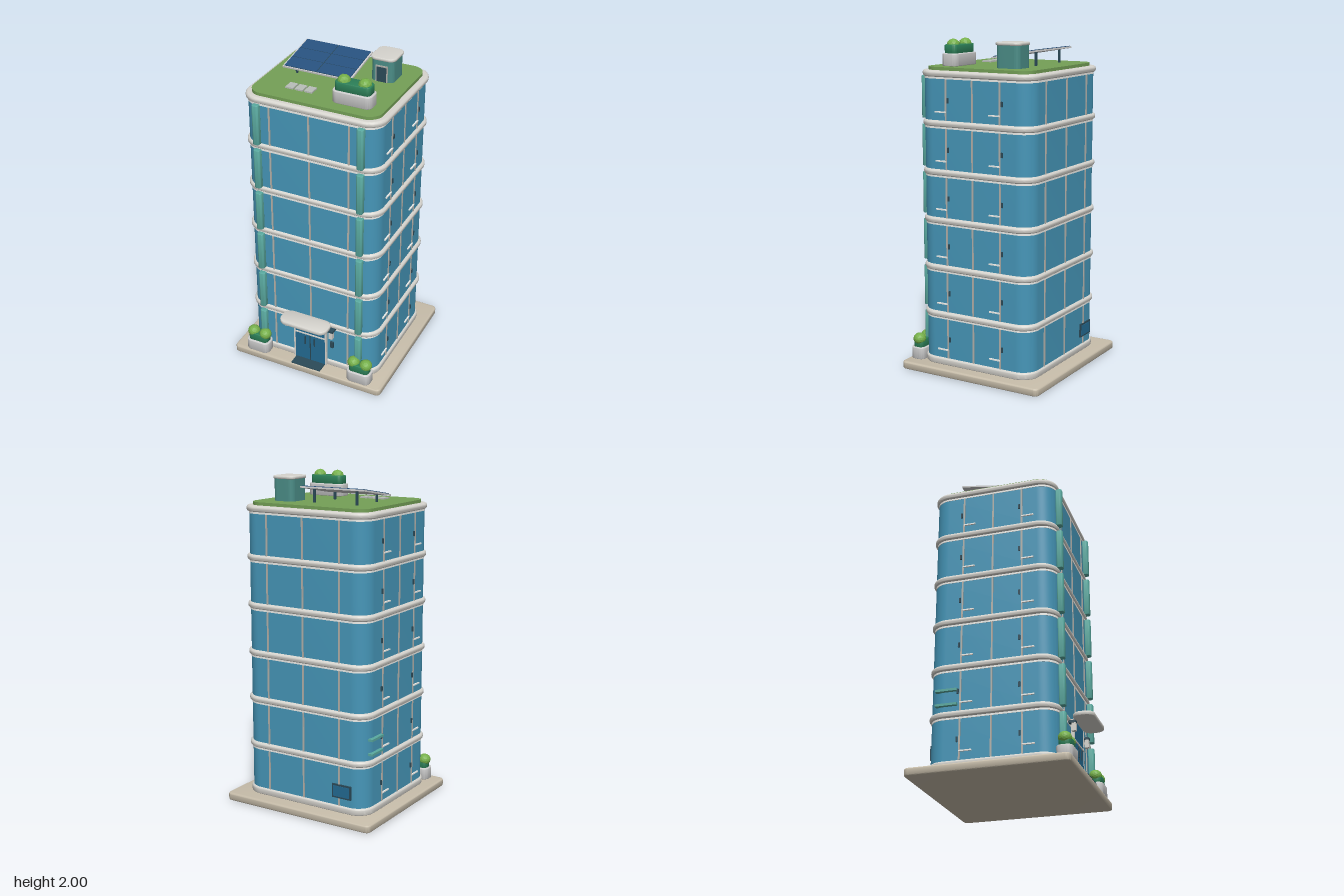
import * as THREE from 'three';
import { toCreasedNormals } from 'three/addons/utils/BufferGeometryUtils.js';

const paint = (color, flatShading = false) => new THREE.MeshStandardMaterial({ color, flatShading });
const M = {
  stone: paint(0xc6bca9), trim: paint(0xd6d4ce), white: paint(0xeeeeea), glass: paint(0x4696b8),
  mullion: paint(0xb4b2ab), grass: paint(0x74a056), solar: paint(0x28527f), teal: paint(0x5aaaa0),
  hut: paint(0x4b8d87), dark: paint(0x2b4a58), door: paint(0x236a92), planter: paint(0xcccccc),
  hedge: paint(0x2c8058), leaf: paint(0x76b04a, true), paver: paint(0xb9beb9),
};
const CZ = -0.025; // centre of the tower in z

// Rounded rectangle lying flat, from y0 to y1, with softened rims
function slab(w, d, y0, y1, r, bevel = 0) {
  const x = w / 2 - bevel, z = d / 2 - bevel;
  r = Math.max(r - bevel, 0.002);
  const s = new THREE.Shape();
  s.absarc(x - r, z - r, r, 0, Math.PI / 2);
  s.absarc(-x + r, z - r, r, Math.PI / 2, Math.PI);
  s.absarc(-x + r, -z + r, r, Math.PI, Math.PI * 1.5);
  s.absarc(x - r, -z + r, r, Math.PI * 1.5, Math.PI * 2);
  s.closePath();
  const g = new THREE.ExtrudeGeometry(s, {
    depth: y1 - y0 - 2 * bevel, curveSegments: 8, bevelEnabled: bevel > 0,
    bevelSize: bevel, bevelThickness: bevel, bevelSegments: 4,
  });
  g.rotateX(-Math.PI / 2).translate(0, y0 + bevel, 0);
  return toCreasedNormals(g, 0.6);
}

function add(parent, name, geo, mat, x = 0, y = 0, z = 0) {
  const m = new THREE.Mesh(geo, mat);
  m.name = name;
  m.position.set(x, y, z);
  parent.add(m);
  return m;
}
const box = (parent, name, mat, w, h, d, x, y, z) =>
  add(parent, name, new THREE.BoxGeometry(w, h, d), mat, x, y, z);

function group(parent, name, x = 0, y = 0, z = 0) {
  const g = new THREE.Group();
  g.name = name;
  g.position.set(x, y, z);
  parent.add(g);
  return g;
}

// Trough with a hedge and two round bushes
function planter(parent, name, x, y, z, w, d, gap, detail) {
  const g = group(parent, name, x, y, z);
  add(g, 'trough', slab(w, d, 0, 0.075, 0.035, 0.006), M.planter);
  add(g, 'hedge', slab(w - 0.025, d - 0.025, 0.07, 0.125, 0.025, 0.005), M.hedge);
  for (const s of [-1, 1]) {
    const b = add(g, 'bush', new THREE.IcosahedronGeometry(0.039, detail), M.leaf, s * gap, 0.123, 0);
    b.scale.y = 0.92;
    b.rotation.y = s * 0.7;
  }
}

// One storey: glass, ledge, mullions, fins and side window fittings
function storey(parent, k) {
  const H = 0.243, g = group(parent, 'storey' + (k + 1), 0, 0.09 + 0.2885 * k, 0);
  add(g, 'glazing', slab(0.846, 0.756, -0.01, H, 0.1), M.glass, 0, 0, CZ);
  add(g, 'soffit', slab(0.85, 0.76, H, 0.258, 0.1), M.white, 0, 0, CZ);
  add(g, 'ledge', slab(0.88, 0.78, 0.254, 0.291, 0.115, 0.015), M.trim, 0, 0, CZ - 0.002);
  for (const x of [-0.25, 0, 0.25]) {
    box(g, 'frontMullion', M.mullion, 0.01, H, 0.01, x, H / 2, 0.354);
    box(g, 'backMullion', M.mullion, 0.01, H, 0.01, x, H / 2, -0.404);
  }
  for (const s of [-1, 1]) {
    add(g, 'frontFin', slab(0.042, 0.042, 0, H + 0.008, 0.014, 0.004), M.teal, s * 0.327, 0, 0.366);
    for (const z of [0.16, -0.02, -0.205])
      box(g, 'sideMullion', M.mullion, 0.01, H, 0.01, s * 0.423, H / 2, z);
    for (const z of [0.195, -0.17])
      box(g, 'windowRail', M.white, 0.012, 0.008, 0.075, s * 0.426, 0.052, z);
    for (const z of [0.145, -0.22])
      box(g, 'windowLatch', M.dark, 0.01, 0.03, 0.01, s * 0.426, 0.12, z);
  }
}

function entrance(parent) {
  const g = group(parent, 'entrance');
  box(g, 'doorMat', M.dark, 0.2, 0.006, 0.09, 0, 0.05, 0.4);
  box(g, 'doorPanel', M.door, 0.21, 0.33, 0.03, 0, 0.215, 0.358);
  box(g, 'doorTransom', M.trim, 0.21, 0.008, 0.01, 0, 0.255, 0.374);
  box(g, 'doorSeam', M.dark, 0.006, 0.2, 0.008, 0, 0.15, 0.372);
  add(g, 'canopy', slab(0.32, 0.127, 0.38, 0.406, 0.05, 0.006), M.trim, 0, 0, 0.435);
  for (const s of [-1, 1]) {
    box(g, 'doorJamb', M.trim, 0.01, 0.33, 0.02, s * 0.108, 0.215, 0.366);
    add(g, 'doorHandle', new THREE.CylinderGeometry(0.004, 0.004, 0.06, 8), M.dark, s * 0.032, 0.205, 0.38);
    box(g, 'lampBracket', M.dark, 0.035, 0.014, 0.045, s * 0.152, 0.345, 0.376);
    box(g, 'lamp', M.trim, 0.026, 0.05, 0.026, s * 0.152, 0.315, 0.385);
  }
  box(g, 'keypad', M.dark, 0.022, 0.042, 0.014, 0.145, 0.217, 0.36);
}

function solarArray(parent) {
  const g = group(parent, 'solarArray', -0.108, 1.911, -0.108);
  const tilt = group(g, 'solarPanel');
  tilt.rotation.x = Math.atan(0.05 / 0.305);
  box(tilt, 'panelFrame', M.planter, 0.435, 0.01, 0.31, 0, -0.003, 0);
  for (let i = 0; i < 2; i++)
    for (let j = 0; j < 3; j++)
      box(tilt, 'solarCell', M.solar, 0.205, 0.008, 0.096, (i - 0.5) * 0.21, 0.002, (j - 1) * 0.1);
  box(tilt, 'cellBacking', M.dark, 0.415, 0.006, 0.296, 0, 0.001, 0);
  for (const x of [-0.145, 0.145]) {
    box(g, 'frontLeg', M.dark, 0.012, 0.05, 0.012, x, -0.047, 0.11);
    box(g, 'backLeg', M.dark, 0.012, 0.085, 0.012, x, -0.03, -0.11);
  }
}

export function createModel() {
  const root = new THREE.Group();
  root.name = 'officeTower';

  // Ground plate and plinth
  add(root, 'groundPlate', slab(1.02, 0.952, 0, 0.047, 0.03, 0.01), M.stone, 0, 0, -0.026);
  add(root, 'plinth', slab(0.87, 0.775, 0.045, 0.09, 0.11, 0.012), M.trim, 0, 0, CZ);

  for (let k = 0; k < 6; k++) storey(root, k);
  entrance(root);
  for (const s of [-1, 1]) planter(root, 'groundPlanter', s * 0.352, 0.045, 0.393, 0.158, 0.096, 0.041, 2);

  // Service fittings on the back and the right side
  box(root, 'backVent', M.dark, 0.13, 0.085, 0.02, -0.27, 0.18, -0.402);
  box(root, 'backVentInset', M.door, 0.11, 0.065, 0.02, -0.27, 0.18, -0.405);
  for (const y of [0.42, 0.508]) box(root, 'sideBar', M.teal, 0.03, 0.014, 0.13, -0.43, y, -0.287);

  // Roof garden
  const roof = group(root, 'roof');
  add(roof, 'lawn', slab(0.81, 0.71, 1.81, 1.842, 0.085), M.grass, 0, 0, CZ);
  for (const x of [-0.195, -0.135, -0.075]) box(roof, 'paver', M.paver, 0.049, 0.012, 0.066, x, 1.845, 0.178);
  planter(roof, 'roofPlanter', 0.21, 1.841, 0.203, 0.242, 0.11, 0.064, 1);
  solarArray(roof);

  // Stair hut
  const hut = group(roof, 'stairHut', 0.237, 0, -0.18);
  add(hut, 'hutWalls', slab(0.14, 0.155, 1.84, 1.975, 0.03), M.hut);
  add(hut, 'hutCap', slab(0.156, 0.17, 1.972, 1.99, 0.04, 0.005), M.trim);
  box(hut, 'hutDoorFrame', M.mullion, 0.075, 0.1, 0.01, 0, 1.892, 0.077);
  box(hut, 'hutDoor', M.dark, 0.06, 0.09, 0.012, 0, 1.888, 0.078);
  return root;
}
